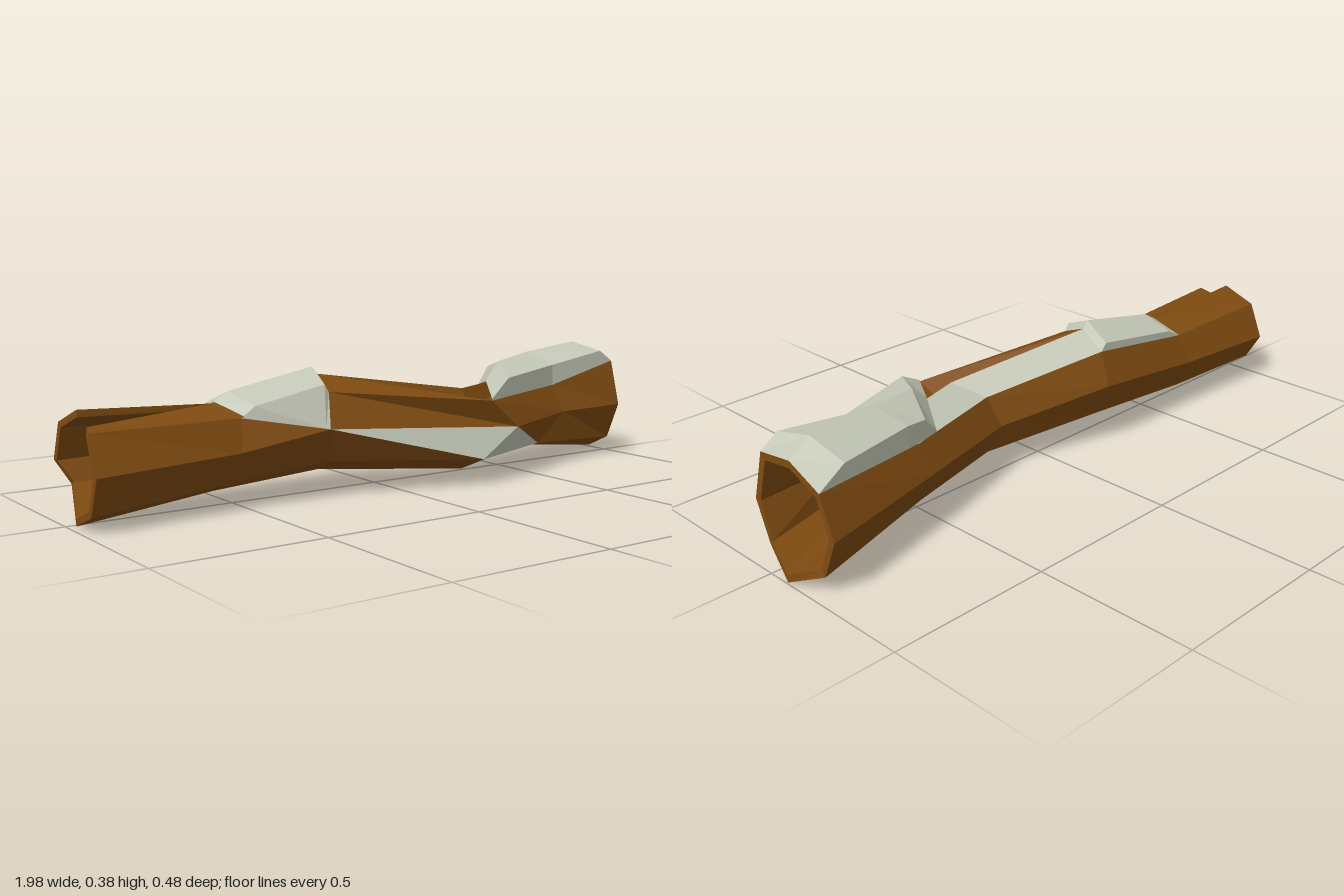
import * as THREE from 'three';

const bark = new THREE.MeshStandardMaterial({ color: 0x7f4b11 });
bark.name = 'bark brown';
bark.flatShading = true;
const snow = new THREE.MeshStandardMaterial({ color: 0xc4c8b7, side: THREE.DoubleSide });
snow.name = 'snow grey';
snow.flatShading = true;

// Octagonal ring of the log, sheared along x by its depth. Slots run from the
// front-top over the top to the back; the top corner is doubled (slots 1 and 2)
// so that the log can split there. Knots replace single corners.
const N = 9, CRACK = 1;
function ring(cx, cy, cz, ry, rz, shear, knots = {}) {
  const points = [1, 2, 2, 3, 4, 5, 6, 7, 8].map((k, slot) => {
    const a = k * Math.PI / 4, dz = rz * Math.cos(a);
    return new THREE.Vector3(...(knots[slot] ?? [cx + shear * dz, cy + ry * Math.sin(a), cz + dz]));
  });
  return { points, centre: new THREE.Vector3(cx, cy, cz) };
}

const rings = [
  ring(-.975, .158, .015, .155, .163, -.05,
    { 1: [-.95, .27, .045], 2: [-.96, .312, .005], 5: [-.93, .09, -.12] }),
  ring(-.56, .17, 0, .125, .133, .15, { 0: [-.52, .262, .1] }),
  ring(-.21, .212, .005, .143, .142, -.25, { 8: [-.26, .213, .152] }),
  ring(.26, .16, .105, .127, .132, .6,
    { 0: [.28, .26, .226], 1: [.27, .215, .13], 7: [.24, .085, .238], 8: [.39, .17, .222] }),
  ring(.62, .177, -.014, .122, .124, .6, { 7: [.56, .088, .13] }),
  ring(.965, .178, -.073, .169, .168, 0, { 0: [.96, .325, .06], 6: [1, .008, -.075] }),
];
const outer = rings.map((r) => r.points);

// Hollow inside: every ring shrunk toward its centre
const inner = rings.map(({ points, centre }) => points.map((p) => {
  const q = p.clone().lerp(centre, 0.13);
  q.x = p.x;
  return q;
}));

function mesh(tris, material, name) {
  const g = new THREE.BufferGeometry().setFromPoints(tris.flat());
  g.computeVertexNormals();
  const m = new THREE.Mesh(g, material);
  m.name = name;
  return m;
}

// Two triangles between neighbouring rows, facing outward
function panel(rows, r, i, j) {
  const [a, b] = [rows[r], rows[r + 1]];
  return [[a[i], b[i], a[j]], [a[j], b[i], b[j]]];
}

// Point on the log at ring position t, running from one slot to another
function along(t, from, to = from) {
  const r = Math.min(Math.floor(t), rings.length - 2);
  return outer[r][from].clone().lerp(outer[r + 1][to], t - r);
}

// Raised snow drift. Each row gives the ring position at its front and back
// edge and its height; frontSlot is where the front edge leads.
function drift(rows, frontSlot, name) {
  const grid = rows.map(([front, back, height]) => {
    const crest = [0, 2, 3].map((slot, k) => {
      const p = along(THREE.MathUtils.lerp(front, back, k / 2), slot);
      p.y += height;
      return p;
    });
    return [along(front, 0, frontSlot), ...crest, along(back, 3)];
  });
  const tris = [];
  for (let r = 0; r < grid.length - 1; r++)
    for (let i = 0; i < 4; i++) tris.push(...panel(grid, r, i, i + 1));
  return mesh(tris, snow, name);
}

// Faces of the shell that lie under flat snow: ring, slot, triangle
function isSnowy(r, slot, k) {
  const topBand = slot === 2 && (r === 2 || r === 3);
  const frontBand = slot === 7 && ((r === 2 && k === 1) || (r === 3 && k === 0));
  const bendFace = slot === 8 && r === 1 && k === 1;
  return topBand || frontBand || bendFace;
}

export function createModel() {
  const group = new THREE.Group();
  group.name = 'hollowLog';
  const outside = [], inside = [], rims = [], patches = [];
  const last = rings.length - 1;

  // Shell, with the crack left open at the -x end
  for (let r = 0; r < last; r++) {
    for (let i = 0; i < N; i++) {
      if (r === 0 && i === CRACK) continue;
      const j = (i + 1) % N;
      panel(outer, r, i, j).forEach((t, k) => (isSnowy(r, i, k) ? patches : outside).push(t));
      panel(inner, r, i, j).forEach(([a, b, c]) => inside.push([a, c, b]));
    }
  }

  // End rims
  for (let i = 0; i < N; i++) {
    const j = (i + 1) % N;
    rims.push(...panel([outer[last], inner[last]], 0, i, j));
    if (i !== CRACK) rims.push(...panel([inner[0], outer[0]], 0, i, j));
  }

  // Crack side walls
  const [o0, o1, n0, n1] = [outer[0], outer[1], inner[0], inner[1]];
  rims.push([o0[1], o1[1], n0[1]], [o1[1], n1[1], n0[1]]);
  rims.push([o0[2], n0[2], o1[2]], [o1[2], n0[2], n1[2]]);

  group.add(
    mesh(outside, bark, 'barkOutside'),
    mesh(inside, bark, 'hollowInside'),
    mesh(rims, bark, 'endRims'),
    mesh(patches, snow, 'snowPatches'),
    drift([[1.02, 1.02, .004], [1.15, 1.15, .022], [1.95, 1.95, .026], [2, 2, 0]], 8, 'bendSnowDrift'),
    drift([[3, 3.75, .005], [3.25, 3.9, .058], [4, 4.1, .067], [4.8, 4.75, .05], [5, 5, 0]], 0, 'endSnowDrift'),
  );
  return group;
}
